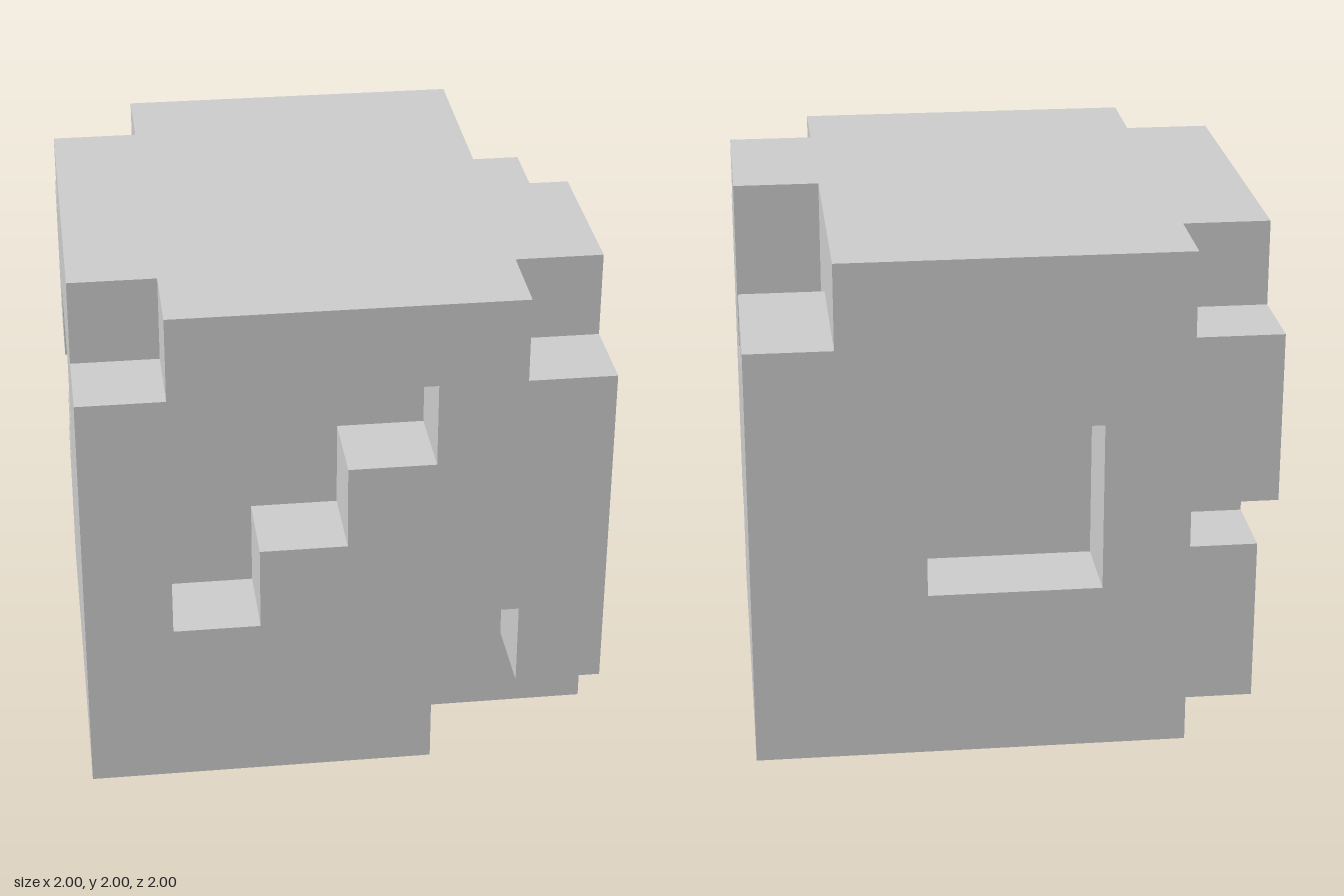
import * as THREE from 'three';
import { mergeGeometries } from 'three/addons/utils/BufferGeometryUtils.js';

const N = 6;          // cells per side
const CELL = 2 / N;

// Notches cut from the cube as cell boxes: [x0, y0, z0, x1, y1, z1], inclusive
const NOTCHES = [
  // top corners
  [0, 5, 5, 0, 5, 5], [5, 5, 5, 5, 5, 5], [0, 5, 0, 0, 5, 0],
  // stepped recess in the front
  [1, 2, 5, 1, 3, 5], [2, 3, 5, 2, 4, 5], [3, 4, 5, 3, 4, 5],
  // lower front corner
  [4, 0, 5, 4, 1, 5], [5, 0, 5, 5, 0, 5],
  // upper edge of the +x side
  [5, 5, 0, 5, 5, 2], [5, 4, 2, 5, 4, 2],
  // square recess in the back
  [2, 2, 0, 3, 3, 0],
  // stepped channel on the -x side, running down the back corner
  [0, 0, 0, 0, 2, 0], [0, 2, 1, 0, 3, 1], [0, 3, 2, 0, 3, 2],
];

const isSolid = (p) =>
  p.every((v) => v >= 0 && v < N) &&
  !NOTCHES.some((n) => p.every((v, a) => v >= n[a] && v <= n[a + 3]));

// Six outward directions, each with the rotation that turns a +z square to face it
const SIDES = [
  [[0, 0, 1], 0, 0], [[0, 0, -1], 0, Math.PI],
  [[1, 0, 0], 0, Math.PI / 2], [[-1, 0, 0], 0, -Math.PI / 2],
  [[0, 1, 0], -Math.PI / 2, 0], [[0, -1, 0], Math.PI / 2, 0],
];

export function createModel() {
  const group = new THREE.Group();
  group.name = 'notchedCube';

  // One square for every cell face that borders empty space
  const squares = [];
  for (let x = 0; x < N; x++) for (let y = 0; y < N; y++) for (let z = 0; z < N; z++) {
    const cell = [x, y, z];
    if (!isSolid(cell)) continue;
    for (const [dir, rx, ry] of SIDES) {
      if (isSolid(cell.map((v, a) => v + dir[a]))) continue;
      const [cx, cy, cz] = cell.map((v, a) => (v + 0.5 + dir[a] / 2) * CELL);
      squares.push(new THREE.PlaneGeometry(CELL, CELL)
        .rotateX(rx).rotateY(ry).translate(cx - 1, cy, cz - 1));
    }
  }

  const cube = new THREE.Mesh(
    mergeGeometries(squares),
    new THREE.MeshStandardMaterial({ color: 0xcccccc, flatShading: true }),
  );
  cube.name = 'cubeBody';
  group.add(cube);
  return group;
}
